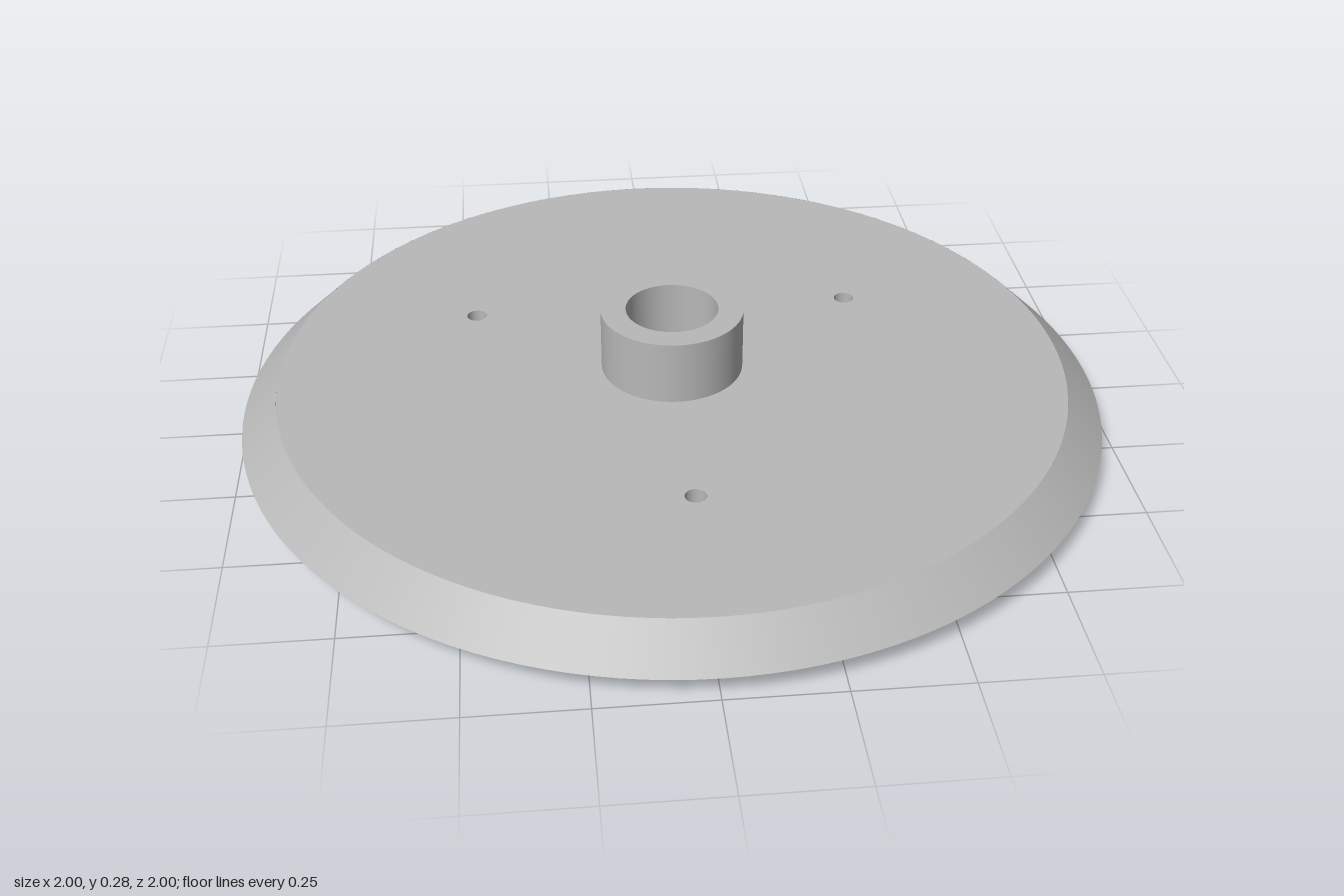
import * as THREE from 'three';

export function createModel() {
  const group = new THREE.Group();
  const grey = new THREE.MeshStandardMaterial({ color: 0xb8b8b8, side: THREE.DoubleSide });
  grey.name = 'plain grey';

  const add = (name, geometry, x = 0, y = 0, z = 0) => {
    const mesh = new THREE.Mesh(geometry, grey);
    mesh.name = name;
    mesh.position.set(x, y, z);
    group.add(mesh);
  };

  // Each profile segment is turned separately, so edges stay sharp
  const turn = (name, points, x = 0, z = 0, sides = 96) => {
    for (let i = 0; i + 1 < points.length; i++) {
      const pair = [points[i], points[i + 1]].map(([r, y]) => new THREE.Vector2(r, y));
      add(name, new THREE.LatheGeometry(pair, sides), x, 0, z);
    }
  };

  // Flat disc with holes; up or down facing
  const disc = (name, radius, y, holes, up) => {
    const shape = new THREE.Shape().absarc(0, 0, radius, 0, Math.PI * 2);
    shape.holes.push(...holes);
    const geometry = new THREE.ShapeGeometry(shape, 48);
    geometry.rotateX(up ? -Math.PI / 2 : Math.PI / 2);
    add(name, geometry, 0, y);
  };
  const circle = (x, y, r) => new THREE.Path().absarc(x, y, r, 0, Math.PI * 2, true);

  const topY = 0.135, bossR = 0.165, boreR = 0.107, bossTop = 0.285, floorY = 0.08;
  const pinR = 0.024, slotR = 0.028, portR = 0.043, portX = 0.47;
  const pins = [[-0.455, -0.263], [0.455, -0.263], [0, 0.525]];

  // Stepped plate with bevelled rim
  turn('plateRim', [[0.94, 0], [0.94, 0.055], [1, 0.055], [0.915, topY]], 0, 0, 128);
  disc('plateTop', 0.915, topY,
    [circle(0, 0, bossR), ...pins.map(([x, z]) => circle(x, -z, pinR))], true);
  disc('plateBottom', 0.94, 0, [circle(portX, 0, portR)], false);

  // Hollow central boss
  turn('boss', [[bossR, topY], [bossR, bossTop], [boreR, bossTop], [boreR, 0.05]]);

  // Bore floor with a rounded channel running to the left wall
  const slot = new THREE.Path();
  slot.moveTo(0.103, slotR);
  slot.lineTo(0, slotR);
  slot.absarc(0, 0, slotR, Math.PI / 2, Math.PI * 1.5, false);
  slot.lineTo(0.103, -slotR);
  slot.closePath();
  disc('boreFloor', boreR, floorY, [slot], true);
  const channel = new THREE.CylinderGeometry(slotR, slotR, boreR, 24, 1, true, Math.PI, Math.PI);
  channel.rotateZ(Math.PI / 2);
  add('channel', channel, boreR / 2, floorY);
  add('channelEnd', new THREE.SphereGeometry(slotR, 16, 8, -Math.PI / 2, Math.PI,
    Math.PI / 2, Math.PI / 2), 0, floorY);

  // Blind pin holes in the top
  for (const [x, z] of pins) {
    turn('pinHole', [[pinR, topY], [pinR, 0.05], [0, 0.05]], x, z, 32);
  }

  // Round port in the underside
  turn('port', [[0, 0.1], [portR, 0.1], [portR, 0]], portX, 0, 32);

  return group;
}
